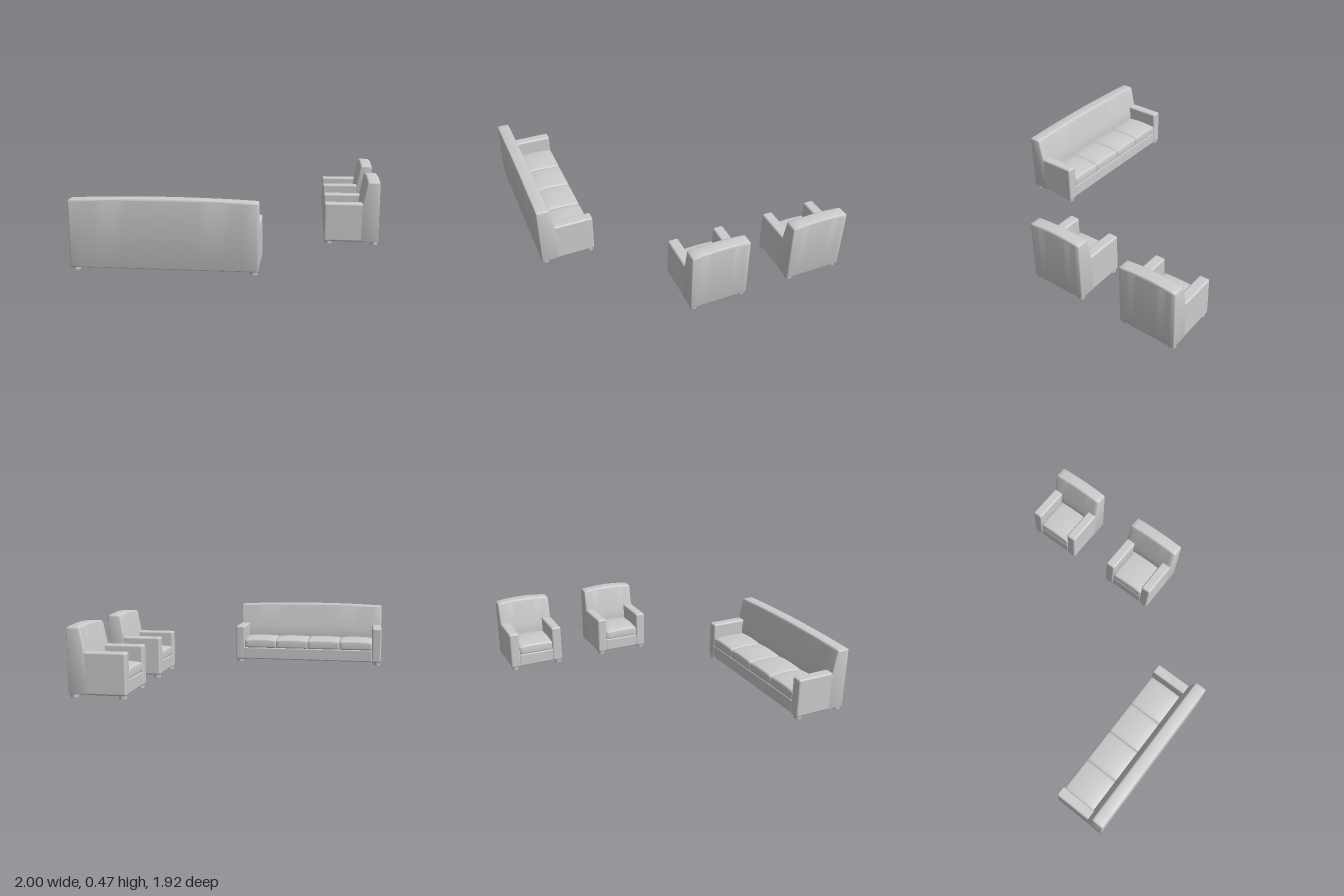
import * as THREE from 'three';
import { toCreasedNormals } from 'three/addons/utils/BufferGeometryUtils.js';
import { RoundedBoxGeometry } from 'three/addons/geometries/RoundedBoxGeometry.js';

const material = new THREE.MeshStandardMaterial({ color: 0xcccccc });
const HALF_DEPTH = 0.195, ARM = 0.075, BACK_FRONT = -0.065, FLOOR = 0.02;

function addMesh(parent, name, geometry, x = 0, y = 0, z = 0) {
  const mesh = new THREE.Mesh(geometry, material);
  mesh.name = name;
  mesh.position.set(x, y, z);
  parent.add(mesh);
  return mesh;
}

// Closed outline from [z, y, cornerRadius] points
function roundedShape(points) {
  const shape = new THREE.Shape();
  points.forEach(([x, y, r], i) => {
    const p = new THREE.Vector2(x, y);
    const toward = (q) => new THREE.Vector2(q[0], q[1]).sub(p).setLength(r).add(p);
    const a = toward(points[(i + points.length - 1) % points.length]);
    const b = toward(points[(i + 1) % points.length]);
    if (i === 0) shape.moveTo(a.x, a.y);
    else shape.lineTo(a.x, a.y);
    shape.quadraticCurveTo(p.x, p.y, b.x, b.y);
  });
  shape.closePath();
  return shape;
}

// Side profile run across the width, with soft ends and a top that arches by `crown`
function upholstered(points, width, bevel, crown, crownFrom) {
  const geometry = new THREE.ExtrudeGeometry(roundedShape(points), {
    depth: width - 2 * bevel, steps: 16, curveSegments: 5,
    bevelThickness: bevel, bevelSize: bevel, bevelOffset: -bevel, bevelSegments: 4,
  });
  geometry.translate(0, 0, bevel - width / 2);
  geometry.rotateY(-Math.PI / 2);
  const pos = geometry.attributes.position;
  const top = Math.max(...points.map((p) => p[1]));
  for (let i = 0; i < pos.count; i++) {
    const u = pos.getX(i) / (width / 2);
    const t = THREE.MathUtils.clamp((pos.getY(i) - crownFrom) / (top - crownFrom), 0, 1);
    pos.setY(i, pos.getY(i) + crown * t * (1 - u * u));
  }
  return toCreasedNormals(geometry, 0.7);
}

// A seat of any width, facing +z
function createSeat(name, width, cushions) {
  const seat = new THREE.Group();
  seat.name = name;
  const inner = width - 2 * ARM;
  const armDepth = HALF_DEPTH - BACK_FRONT;

  // Backrest: upright below the arms, leaning back above
  addMesh(seat, 'backrest', upholstered([
    [-HALF_DEPTH, FLOOR, 0.006], [BACK_FRONT, FLOOR, 0.006], [BACK_FRONT, 0.24, 0.04],
    [-0.107, 0.457, 0.014], [-HALF_DEPTH, 0.457, 0.014],
  ], width, 0.01, 0.015, 0.3), 0, 0, 0);

  // Arms
  for (const side of [-1, 1]) {
    addMesh(seat, side > 0 ? 'leftArm' : 'rightArm',
      new RoundedBoxGeometry(ARM, 0.28, armDepth + 0.02, 4, 0.014),
      side * (width - ARM) / 2, FLOOR + 0.14, BACK_FRONT + armDepth / 2 - 0.01);
  }

  // Base panel between the arms
  addMesh(seat, 'base', new RoundedBoxGeometry(inner + 0.01, 0.097, armDepth + 0.01, 3, 0.01),
    0, 0.0735, BACK_FRONT + armDepth / 2 - 0.007);

  // Seat cushions, slightly domed
  const w = inner / cushions;
  for (let i = 0; i < cushions; i++) {
    addMesh(seat, 'seatCushion', upholstered([
      [-0.08, 0.12, 0.008], [0.193, 0.12, 0.012], [0.193, 0.186, 0.018],
      [0.06, 0.198, 0.06], [-0.08, 0.19, 0.01],
    ], w, 0.01, 0.008, 0.14), -inner / 2 + w * (i + 0.5));
  }

  // Feet
  for (const x of [-1, 1]) for (const z of [-1, 1]) {
    addMesh(seat, 'foot', new THREE.CylinderGeometry(0.027, 0.025, 0.024, 16),
      x * (width / 2 - 0.031), 0.012, z * (HALF_DEPTH - 0.031));
  }
  return seat;
}

export function createModel() {
  const group = new THREE.Group();
  group.name = 'sofaSet';

  const sofa = createSeat('sofa', 1.195, 4);
  sofa.rotation.y = Math.PI;
  sofa.position.set(-0.4025, 0, 0.763);
  group.add(sofa);

  // Two matching armchairs facing -x
  for (const z of [-0.752, -0.026]) {
    const chair = createSeat('armchair', 0.412, 1);
    chair.rotation.y = -Math.PI / 2;
    chair.position.set(0.805, 0, z);
    group.add(chair);
  }
  return group;
}
